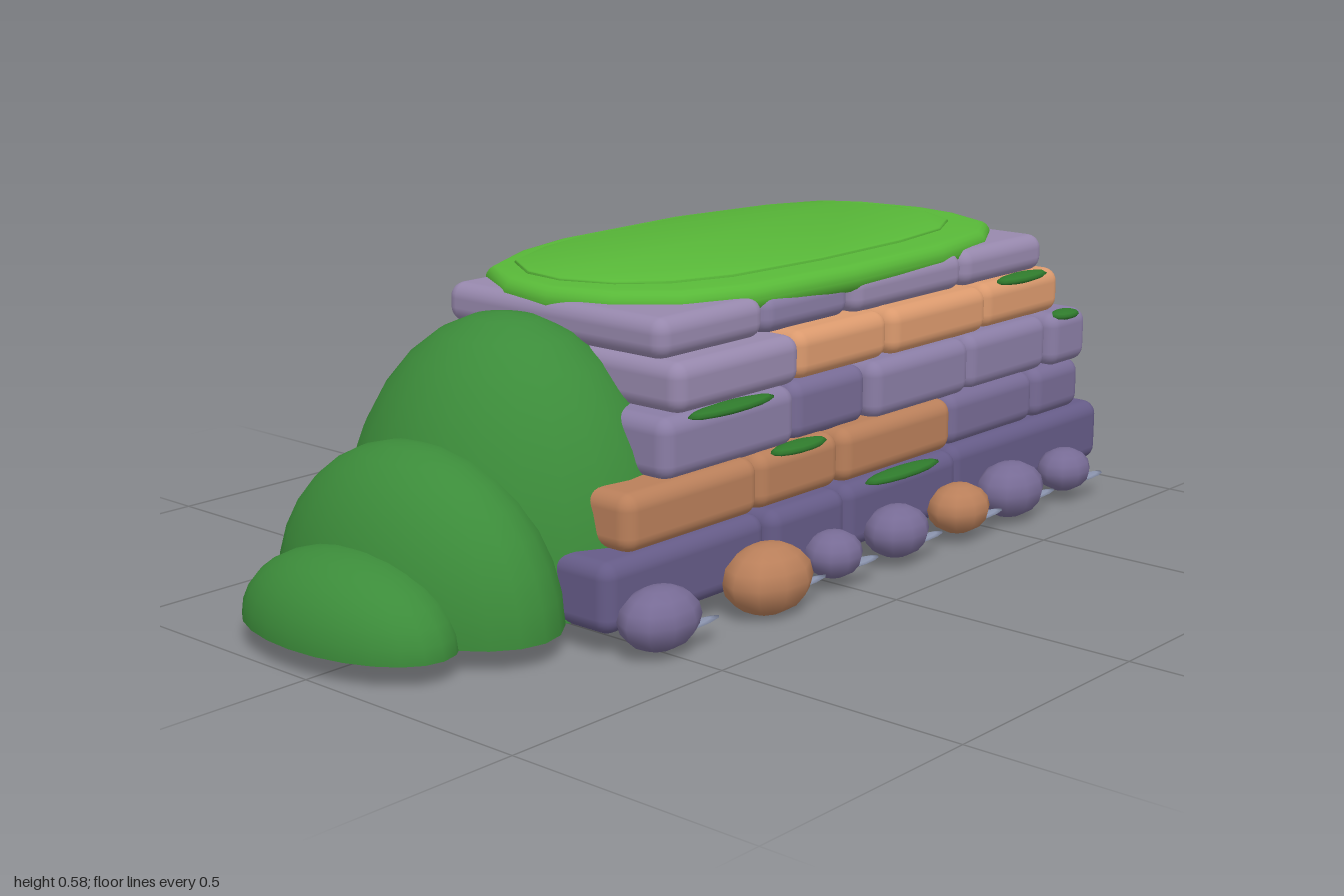
import * as THREE from 'three';
import { RoundedBoxGeometry } from 'three/addons/geometries/RoundedBoxGeometry.js';
import { toCreasedNormals } from 'three/addons/utils/BufferGeometryUtils.js';

const materials = {};
const paint = (color) => (materials[color] ??= new THREE.MeshStandardMaterial({ color }));

const BASE = 0x655b87, DUSK = 0x776b95, MAUVE = 0x8a7da5, PALE = 0x9788ad;
const CLAY = 0xb97f5a, SAND = 0xdb9a6e;
const BUSH = 0x3c8c3a, GRASS = 0x58b838, MOSS = 0x2f7a2c, SHADE = 0x8a93ad;

// Each course: bottom, top, stones as [x0, x1, back z, front z, colour]
const courses = [
  [0.04, 0.172, [[-0.6, -0.165, -0.33, 0.325, BASE], [-0.165, 0.065, -0.34, 0.335, BASE],
    [0.065, 0.44, -0.33, 0.33, BASE], [0.44, 1.0, -0.35, 0.315, BASE]]],
  [0.168, 0.277, [[-0.53, -0.168, -0.33, 0.31, CLAY], [-0.168, 0.08, -0.32, 0.305, CLAY],
    [0.08, 0.445, -0.34, 0.31, CLAY], [0.445, 0.76, -0.33, 0.3, DUSK], [0.76, 0.94, -0.345, 0.3, DUSK]]],
  [0.27, 0.387, [[-0.41, -0.037, -0.34, 0.29, MAUVE], [-0.037, 0.195, -0.33, 0.28, DUSK],
    [0.195, 0.525, -0.355, 0.295, MAUVE], [0.525, 0.82, -0.355, 0.29, MAUVE], [0.82, 0.962, -0.32, 0.3, MAUVE]]],
  [0.383, 0.479, [[-0.365, -0.012, -0.33, 0.28, PALE], [-0.012, 0.277, -0.34, 0.27, SAND],
    [0.277, 0.612, -0.345, 0.275, SAND], [0.612, 0.9, -0.32, 0.265, SAND]]],
  [0.475, 0.553, [[-0.36, -0.065, -0.33, 0.235, PALE], [-0.065, 0.2, -0.32, 0.23, MAUVE],
    [0.2, 0.57, -0.33, 0.24, PALE], [0.57, 0.87, -0.33, 0.24, PALE]]],
];

function ellipsoid(name, color, [x, y, z], [rx, ry, rz], w, h) {
  const mesh = new THREE.Mesh(new THREE.SphereGeometry(1, w, h), paint(color));
  mesh.name = name;
  mesh.position.set(x, y, z);
  mesh.scale.set(rx, ry, rz);
  return mesh;
}

// Half ellipsoid with a flat underside
function bushDome(x, z, rx, ry, rz) {
  const group = new THREE.Group();
  group.name = 'bushDome';
  const dome = new THREE.Mesh(
    new THREE.SphereGeometry(1, 24, 8, 0, Math.PI * 2, 0, Math.PI / 2), paint(BUSH));
  dome.name = 'bushLeaves';
  const under = new THREE.Mesh(new THREE.CircleGeometry(1, 24).rotateX(Math.PI / 2), paint(BUSH));
  under.name = 'bushUnderside';
  group.add(dome, under);
  group.position.set(x, 0.045, z);
  group.scale.set(rx, ry, rz);
  return group;
}

// Flat plate with rounded rim from an outline in x and z
function plate(name, outline, bottom, height, inset) {
  const shape = new THREE.Shape(outline.map(([x, z]) => new THREE.Vector2(x, -z)));
  const bevel = height * 0.48;
  const geometry = new THREE.ExtrudeGeometry(shape, {
    depth: height - 2 * bevel, bevelThickness: bevel, bevelSize: inset, bevelOffset: -inset, bevelSegments: 4,
  });
  geometry.rotateX(-Math.PI / 2).translate(0, bottom + bevel, 0);
  const mesh = new THREE.Mesh(toCreasedNormals(geometry, 0.8), paint(GRASS));
  mesh.name = name;
  return mesh;
}

export function createModel() {
  const model = new THREE.Group();
  model.name = 'stoneLedge';

  // Stacked stone courses
  courses.forEach(([y0, y1, stones], i) => {
    const course = new THREE.Group();
    course.name = `stoneCourse${i + 1}`;
    for (const [x0, x1, z0, z1, color] of stones) {
      const stone = new THREE.Mesh(
        new RoundedBoxGeometry(x1 - x0, y1 - y0, z1 - z0, 3, 0.03), paint(color));
      stone.name = 'stone';
      stone.position.set((x0 + x1) / 2, (y0 + y1) / 2, (z0 + z1) / 2);
      course.add(stone);
    }
    model.add(course);
  });

  // Grass top and its slightly raised middle
  const outline = [[0.88, 0], [0.895, -0.1], [0.87, -0.25], [0.82, -0.34], [0.68, -0.4],
    [0.42, -0.442], [0.05, -0.43], [-0.11, -0.39], [-0.27, -0.31], [-0.345, -0.18],
    [-0.355, -0.06], [-0.31, 0.07], [-0.22, 0.165], [-0.08, 0.22], [0.2, 0.242],
    [0.5, 0.235], [0.7, 0.2], [0.82, 0.13]];
  const middle = outline.map(([x, z]) => [0.265 + (x - 0.27) * 0.89, -0.118 + (z + 0.1) * 0.795]);
  model.add(plate('grassTop', outline, 0.52, 0.056, 0.026));
  model.add(plate('grassMiddle', middle, 0.566, 0.016, 0.006));

  // Bush stepping down at the side
  model.add(
    bushDome(-0.44, -0.08, 0.29, 0.495, 0.355),
    bushDome(-0.69, -0.06, 0.185, 0.3, 0.325),
    bushDome(-0.865, -0.045, 0.135, 0.145, 0.245));

  // Moss pads lying on the joints
  for (const [x, y, z, rx] of [[-0.225, 0.38, 0.285, 0.12], [-0.045, 0.272, 0.298, 0.08],
    [0.25, 0.165, 0.325, 0.12], [0.885, 0.38, 0.285, 0.045], [0.76, 0.475, 0.255, 0.09]]) {
    model.add(ellipsoid('mossPad', MOSS, [x, y, z], [rx, 0.011, 0.026], 14, 6));
  }

  // Pebbles along the front, each with a thin flat sliver beside it
  for (const [x, rx, ry, rz, color] of [[-0.51, 0.086, 0.058, 0.065, DUSK], [-0.215, 0.098, 0.067, 0.075, CLAY],
    [-0.02, 0.061, 0.046, 0.055, DUSK], [0.18, 0.074, 0.052, 0.06, DUSK], [0.39, 0.073, 0.051, 0.06, CLAY],
    [0.575, 0.084, 0.058, 0.065, DUSK], [0.78, 0.066, 0.046, 0.054, DUSK]]) {
    model.add(ellipsoid('pebble', color, [x, 0.068, 0.365], [rx, ry, rz], 10, 8));
    model.add(ellipsoid('pebbleSliver', SHADE, [x + 0.045, 0.046, 0.392], [rx * 0.95, 0.004, 0.018], 12, 4));
  }

  return model;
}
